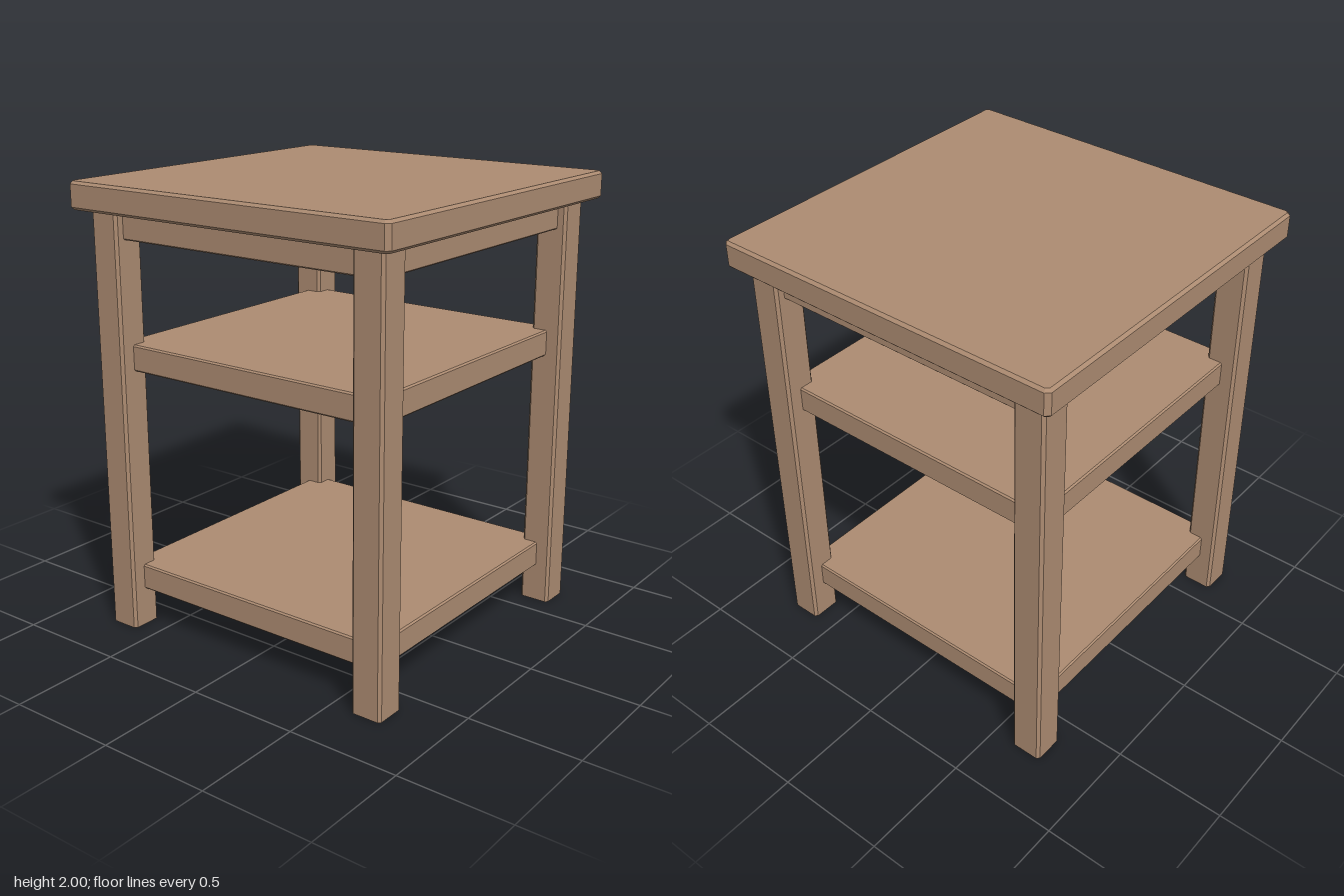
import * as THREE from 'three';

// Box with flat chamfers on its vertical edges (corner) and top/bottom edges (rim).
// Stands on y = 0 of its own frame.
function chamferedBox(width, height, depth, corner, rim) {
  const x = width / 2 - rim, z = depth / 2 - rim, c = corner;
  const shape = new THREE.Shape([
    [x - c, -z], [x, -z + c], [x, z - c], [x - c, z],
    [-x + c, z], [-x, z - c], [-x, -z + c], [-x + c, -z],
  ].map(([a, b]) => new THREE.Vector2(a, b)));
  const geometry = new THREE.ExtrudeGeometry(shape, {
    depth: height - 2 * rim,
    bevelEnabled: rim > 0,
    bevelThickness: rim,
    bevelSize: rim,
    bevelSegments: 1,
  });
  geometry.translate(0, 0, rim);
  geometry.rotateX(-Math.PI / 2);
  return geometry;
}

export function createModel() {
  const table = new THREE.Group();
  table.name = 'sideTable';
  const wood = new THREE.MeshStandardMaterial({ color: 0xad8c72 });
  wood.name = 'wood';

  const add = (name, geometry, x, y, z, turn = 0) => {
    const mesh = new THREE.Mesh(geometry, wood);
    mesh.name = name;
    mesh.position.set(x, y, z);
    mesh.rotation.y = turn;
    table.add(mesh);
  };

  // Table top
  add('tableTop', chamferedBox(1.62, 0.12, 1.62, 0.012, 0.012), 0, 1.88, 0);

  // Four square legs with eased vertical edges
  const leg = chamferedBox(0.143, 1.885, 0.143, 0.012, 0);
  for (const [side, x] of [['Left', 0.674], ['Right', -0.674]]) {
    add('front' + side + 'Leg', leg, x, 0, 0.674);
    add('back' + side + 'Leg', leg, x, 0, -0.674);
  }

  // Apron rails between the legs, just under the top
  const rail = chamferedBox(1.24, 0.125, 0.1, 0.006, 0.006);
  ['front', 'left', 'back', 'right'].forEach((name, i) => {
    const turn = i * Math.PI / 2;
    add(name + 'Apron', rail, 0.655 * Math.sin(turn), 1.76, 0.655 * Math.cos(turn), turn);
  });

  // Two shelves, let into the legs
  const shelf = chamferedBox(1.356, 0.117, 1.356, 0.007, 0.007);
  add('lowerShelf', shelf, 0, 0.172, 0);
  add('upperShelf', shelf, 0, 1.189, 0);

  return table;
}
